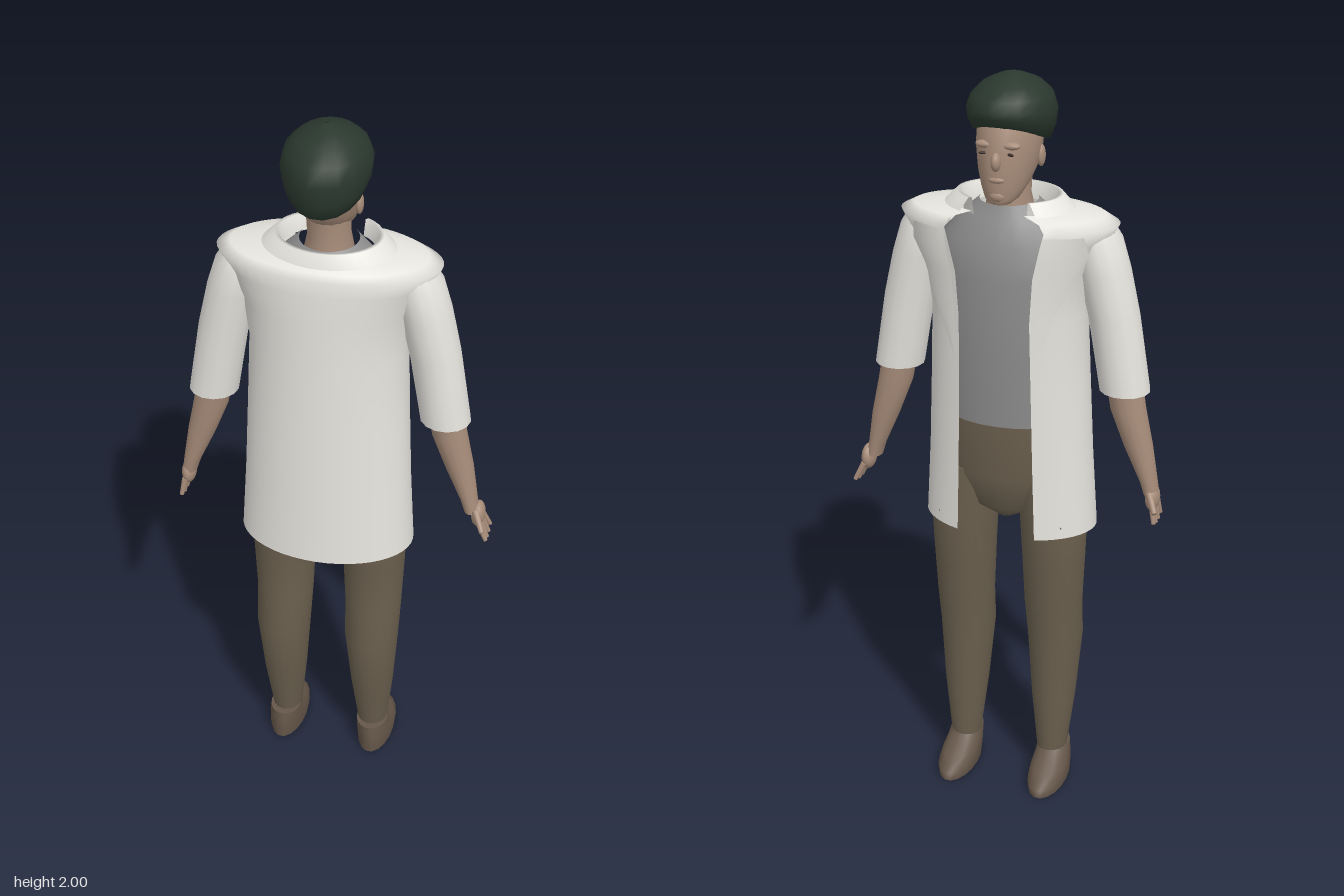
import * as THREE from 'three';

const FRONT = -Math.PI / 2; // the figure faces -z
const CX = -0.015;          // body centre line

const mat = (name, color, side = THREE.FrontSide) => {
  const m = new THREE.MeshStandardMaterial({ color, side });
  m.name = name;
  return m;
};

// Skin over elliptical rings [y, rx, rz, cx, cz, tilt, t0, t1]; tilt raises the front edge
function loft(rings, segs = 24, caps = false) {
  const pos = [], idx = [];
  const open = rings[0][6] !== undefined;
  const cols = open ? segs + 1 : segs;
  const addRing = ([y, rx, rz, cx = 0, cz = 0, tilt = 0, t0 = 0, t1 = Math.PI * 2]) => {
    for (let j = 0; j < cols; j++) {
      const t = t0 + (t1 - t0) * j / segs;
      const z = Math.sin(t) * rz;
      pos.push(cx + Math.cos(t) * rx, y - tilt * z, cz + z);
    }
  };
  rings.forEach(addRing);
  for (let i = 0; i < rings.length - 1; i++) {
    for (let j = 0; j < segs; j++) {
      const k = open ? j + 1 : (j + 1) % segs;
      const a = i * cols + j, b = i * cols + k, c = a + cols, d = b + cols;
      idx.push(a, c, b, b, c, d);
    }
  }
  if (caps) {
    for (const [ring, top] of [[rings[0], false], [rings.at(-1), true]]) {
      const s = pos.length / 3;
      addRing(ring);
      const mid = pos.length / 3;
      pos.push(ring[3] || 0, ring[0], ring[4] || 0);
      for (let j = 0; j < segs; j++) {
        const a = s + j, b = s + (j + 1) % segs;
        idx.push(mid, top ? b : a, top ? a : b);
      }
    }
  }
  const g = new THREE.BufferGeometry();
  g.setAttribute('position', new THREE.Float32BufferAttribute(pos, 3));
  g.setIndex(idx);
  g.computeVertexNormals();
  return g;
}

export function createModel() {
  const root = new THREE.Group();
  root.name = 'standingFigure';
  const coat = mat('coatWhite', 0xeeece6, THREE.DoubleSide);
  const shirt = mat('shirtGrey', 0x8e8e8e);
  const skin = mat('skin', 0xa88d7a);
  const trousers = mat('trousersBrown', 0x6a5f4e);
  const leather = mat('shoeBrown', 0x66574a);
  const felt = mat('hatGreen', 0x2a382e, THREE.DoubleSide);
  const dark = mat('eyeDark', 0x3a2e28);

  const add = (name, geo, m, parent = root) => {
    const mesh = new THREE.Mesh(geo, m);
    mesh.name = name;
    parent.add(mesh);
    return mesh;
  };
  const ball = (name, m, p, s, parent) => {
    const b = add(name, new THREE.SphereGeometry(1, 16, 10), m, parent);
    b.position.set(...p);
    b.scale.set(...s);
    return b;
  };
  // Tapered rod between two points
  const rod = (name, a, b, r0, r1, m, parent) => {
    const p = new THREE.Vector3(...a), q = new THREE.Vector3(...b);
    const d = q.clone().sub(p);
    const mesh = add(name, new THREE.CylinderGeometry(r1, r0, d.length(), 8), m, parent);
    mesh.position.copy(p).add(q).multiplyScalar(0.5);
    mesh.quaternion.setFromUnitVectors(new THREE.Vector3(0, 1, 0), d.normalize());
  };

  // Torso
  add('shirt', loft([
    [1.08, .175, .115, CX, 0], [1.3, .185, .13, CX, -.003], [1.5, .19, .132, CX, -.005],
    [1.59, .175, .12, CX, -.005], [1.65, .115, .092, CX, -.005], [1.685, .075, .075, CX, -.01],
  ]), shirt);
  add('trouserHips', loft([
    [.81, .03, .05, CX, 0], [.85, .12, .09, CX, 0], [.95, .19, .12, CX, 0], [1.1, .178, .118, CX, 0],
  ], 24, true), trousers);

  // Open coat: body, collar and lapels
  const gap = .47, t0 = FRONT + gap, t1 = FRONT + Math.PI * 2 - gap;
  add('coatBody', loft([
    [.79, .235, .153, .012], [1, .222, .15, .008], [1.2, .213, .148, .003], [1.4, .205, .147, -.003],
    [1.52, .222, .147, -.005], [1.6, .262, .147, -.007], [1.64, .285, .144, -.008],
    [1.658, .25, .132, -.006], [1.67, .15, .108, -.005],
  ].map(([y, rx, rz, cz]) => [y, rx, rz, CX, cz, 0, t0, t1]), 40), coat);
  add('collar', loft([
    [1.664, .172, .12], [1.7, .136, .108], [1.7, .125, .1], [1.655, .118, .095],
  ].map(([y, rx, rz]) => [y, rx, rz, CX, -.005, 0, t0 + .15, t1 - .15]), 32), coat);
  for (const s of [-1, 1]) {
    add(s > 0 ? 'lapelLeft' : 'lapelRight', loft([
      [1.3, .222, .154, .02], [1.42, .221, .158, .3], [1.52, .234, .16, .52],
      [1.58, .262, .16, .6], [1.63, .285, .153, .42],
    ].map(([y, rx, rz, w]) =>
      [y, rx, rz, CX, -.006, 0, FRONT + s * gap, FRONT + s * (gap + w)]), 10), coat);
  }

  for (const s of [-1, 1]) {
    const side = s > 0 ? 'Left' : 'Right';
    const at = rel => CX + s * rel;

    // Sleeve and bare forearm
    const arm = new THREE.Group();
    arm.name = 'arm' + side;
    root.add(arm);
    add('sleeve', loft([
      [1.2, .066, .064, at(.308), .002], [1.4, .066, .07, at(.275), .002], [1.52, .067, .075, at(.247), .002],
      [1.6, .06, .076, at(.229), .002], [1.645, .035, .055, at(.225), .002],
    ], 14), coat, arm);
    add('forearm', loft([
      [.915, .02, .028, at(.388), 0], [.95, .023, .03, at(.38), 0], [1.05, .038, .038, at(.35), -.003],
      [1.15, .047, .044, at(.32), -.003], [1.26, .048, .045, at(.3), 0],
    ], 14, true), skin, arm);

    // Hand: the left reaches out, the right hangs straighter
    const tip = s > 0 ? .435 : .405;
    const hx = (.388 + tip) / 2;
    ball('palm', skin, [at(hx - .005), .905, 0], [.019, .036, .034], arm);
    for (let i = 0; i < 4; i++) {
      const z = (i - 1.5) * .018;
      rod('finger', [at(hx), .893, z], [at(tip), .836 + Math.abs(i - 1.5) * .006, z * 1.35], .0085, .006, skin, arm);
    }
    rod('thumb', [at(hx - .01), .925, s * .02], [at(hx + .015), .885, s * .057], .01, .007, skin, arm);

    // Leg and shoe
    add('leg' + side, loft([
      [.07, .04, .045, at(.128), -.008], [.1, .043, .048, at(.128), -.008], [.25, .06, .068, at(.128), .003],
      [.44, .075, .085, at(.127), .015], [.55, .079, .077, at(.126), -.004], [.7, .085, .09, at(.126), -.007],
      [.82, .09, .098, at(.125), -.008], [.96, .085, .1, at(.11), -.006],
    ], 18, true), trousers);
    add('shoe' + side, loft([
      [0, .05, .113, at(.133), -.05], [.025, .053, .115, at(.133), -.05], [.05, .051, .095, at(.132), -.03],
      [.07, .047, .072, at(.131), -.009], [.092, .044, .056, at(.13), .004],
    ], 18, true), leather);
  }

  // Head and neck
  const head = new THREE.Group();
  head.name = 'head';
  root.add(head);
  add('neck', loft([
    [1.64, .066, .065, CX, -.005], [1.7, .054, .058, CX, -.008], [1.78, .056, .06, CX, 0],
  ], 18), skin, head);
  add('face', loft([
    [1.692, .026, .03, CX, -.075], [1.705, .043, .045, CX, -.067], [1.735, .06, .075, CX, -.04],
    [1.775, .073, .1, CX, -.018], [1.82, .08, .108, CX, -.008], [1.88, .08, .106, CX, -.003],
    [1.93, .06, .08, CX, 0],
  ], 20, true), skin, head);
  ball('nose', skin, [CX, 1.803, -.113], [.013, .024, .02], head);
  ball('lips', skin, [CX, 1.757, -.106], [.024, .01, .014], head);
  ball('chin', skin, [CX, 1.715, -.098], [.024, .018, .018], head);
  for (const s of [-1, 1]) {
    ball('ear', skin, [CX + s * .078, 1.795, .005], [.01, .028, .018], head);
    ball('brow', skin, [CX + s * .032, 1.842, -.098], [.026, .01, .014], head);
    const eye = ball('eye', dark, [CX + s * .032, 1.822, -.106], [.014, .004, .004], head);
    eye.rotation.y = s * .4;
  }

  // Soft hat, lower at the back
  add('hat', loft([
    [1.84, .083, .1, CX, .008, .36], [1.845, .094, .115, CX, .008, .36], [1.875, .107, .13, CX, .01, .25],
    [1.91, .111, .134, CX, .012, .1], [1.945, .1, .122, CX, .012, .02], [1.972, .072, .088, CX, .01],
    [1.99, .034, .042, CX, .008], [2, .003, .003, CX, .008],
  ], 18, false), felt, head);

  return root;
}
